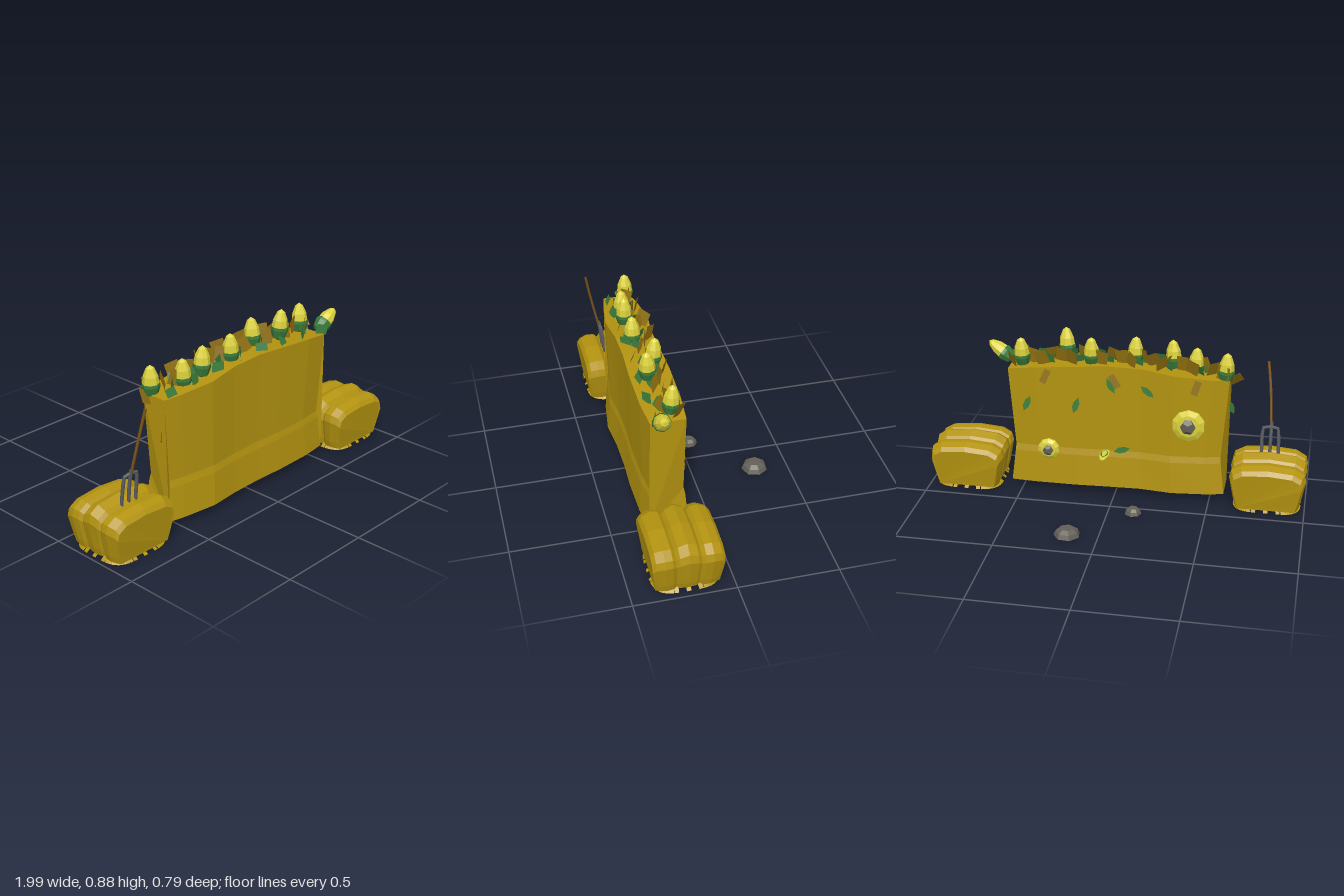
import * as THREE from 'three';

const mat = (name, color, side = THREE.FrontSide) => {
  const m = new THREE.MeshStandardMaterial({ color, side, flatShading: true });
  m.name = name;
  return m;
};

export function createModel() {
  const root = new THREE.Group();
  root.name = 'strawWallCreature';
  const D = THREE.DoubleSide;
  const straw = mat('straw', 0xb39310, D);
  const dryLeaf = mat('dryLeaf', 0x8f6f10, D);
  const corn = mat('cornYellow', 0xdcd23c, D);
  const green = mat('huskGreen', 0x3a7a3a, D);
  const stone = mat('stone', 0x625f57);
  const metal = mat('metal', 0x5a5b5e);
  const wood = mat('wood', 0x7a5418);

  let seed = 7;
  const rnd = () => ((seed = (seed * 16807) % 2147483647) / 2147483647);
  const add = (parent, name, geo, material, p = [0, 0, 0], r = [0, 0, 0]) => {
    const m = new THREE.Mesh(geo, material);
    m.name = name;
    m.position.set(...p);
    m.rotation.set(...r);
    parent.add(m);
    return m;
  };

  // Joins equal-length cross-sections; optionally closes the loop and caps the ends
  const loft = (rings, closed) => {
    const n = rings[0].length, pos = rings.flat(2), idx = [];
    for (let i = 0; i < rings.length - 1; i++)
      for (let j = 0; j < (closed ? n : n - 1); j++) {
        const a = i * n + j, b = i * n + (j + 1) % n, c = a + n, d = b + n;
        idx.push(a, b, c, b, d, c);
      }
    const last = (rings.length - 1) * n;
    for (let j = 1; j < n - 1; j++) {
      idx.push(0, j + 1, j, last, last + j, last + j + 1);
    }
    const g = new THREE.BufferGeometry();
    g.setAttribute('position', new THREE.Float32BufferAttribute(pos, 3));
    g.setIndex(idx);
    const flat = g.toNonIndexed();
    flat.computeVertexNormals();
    return flat;
  };

  // Wall: stations of x, top height, front z, back z
  const stations = [
    [-0.585, 0.685, 0.3, 0.16], [-0.5, 0.69, 0.318, 0.14], [-0.31, 0.705, 0.343, 0.122],
    [-0.14, 0.725, 0.328, 0.14], [0.04, 0.73, 0.325, 0.135], [0.2, 0.72, 0.33, 0.127],
    [0.42, 0.7, 0.325, 0.127], [0.56, 0.682, 0.308, 0.135],
  ];
  const rows = [[0.05, 0.985, 0.012], [0.22, 0.95, 0], [0.255, 0.945, -0.008]];
  const wallRings = stations.map(([x, top, zf, zb]) => {
    const prof = [...rows, [top, 1, 0]];
    return [
      ...prof.map(([y, s, f]) => [x * s, y, zf + f]),
      ...prof.slice().reverse().map(([y, s, f]) => [x * s, y, zb - f]),
    ];
  });
  add(root, 'wall', loft(wallRings, true), straw);
  const topAt = (x) => 0.73 - 0.13 * x * x;
  const backAt = (x) => {
    for (let i = 1; i < stations.length; i++) {
      const a = stations[i - 1], b = stations[i];
      if (x <= b[0]) return a[3] + (b[3] - a[3]) * (x - a[0]) / (b[0] - a[0]);
    }
    return 0.135;
  };

  // Three-lobed hay bales, open underneath, with a fringe round the rim
  const half = [[0.165, 0.015], [0.175, 0.05], [0.198, 0.19], [0.188, 0.232], [0.14, 0.262]];
  const baleProfile = [...half, [0, 0.275], ...half.map(([x, y]) => [-x, y]).reverse()];
  const lobe = [[0.172, 0.9, 0.8], [0.155, 0.94, 0.88], [0.115, 1, 0.93],
    [0.078, 0.98, 0.92], [0.06, 0.92, 0.86], [0.044, 0.97, 0.93], [0, 1, 1]];
  const slices = [...lobe.map(([z, a, b]) => [-z, a, b]), ...lobe.slice(0, -1).reverse()];
  const baleGeo = loft(slices.map(([z, sx, sy]) => baleProfile.map(([x, y]) => [
    x * sx, y < 0.1 ? y : y * sy, z * (y < 0.03 ? 0.9 : y < 0.1 ? 0.92 : 1),
  ])).reverse(), false);
  const toothGeo = new THREE.PlaneGeometry(0.022, 0.03);
  const makeBale = (x, name) => {
    const g = new THREE.Group();
    g.name = name;
    g.position.set(x, 0, 0.225);
    add(g, 'baleBody', baleGeo, straw);
    const n = 44, pow = (v) => Math.sign(v) * Math.sqrt(Math.abs(v));
    for (let i = 0; i < n; i++) {
      const t = (i / n) * Math.PI * 2;
      const tooth = add(g, 'fringe', toothGeo, straw,
        [0.165 * pow(Math.sin(t)), 0.012, 0.153 * pow(Math.cos(t))]);
      tooth.rotation.set(-0.9, t, 0.25 * (rnd() - 0.5), 'YXZ');
    }
    root.add(g);
  };
  makeBale(0.793, 'leftBale');
  makeBale(-0.803, 'rightBale');

  // Corn cobs in green husks along the wall top
  const lathe = (pts, seg) => new THREE.LatheGeometry(pts.map((p) => new THREE.Vector2(...p)), seg);
  const cobGeo = lathe([[0, 0], [0.03, 0.02], [0.041, 0.06], [0.036, 0.105], [0.02, 0.145], [0, 0.16]], 8);
  const huskGeo = lathe([[0, -0.006], [0.033, 0.014], [0.045, 0.055], [0.043, 0.07]], 8);
  const cobs = [[-0.56, 0.19, 0.665, 0.05, 0], [-0.4, 0.24, 0.665, 0.06, 0], [-0.29, 0.25, 0.695, -0.05, 0],
    [-0.085, 0.25, 0.7, 0.05, 0], [0.13, 0.2, 0.705, 0, -0.1], [0.265, 0.25, 0.725, -0.06, 0.05],
    [0.495, 0.2, 0.68, -0.03, -0.1], [0.56, 0.26, 0.685, -0.95, 0.08]];
  cobs.forEach(([x, z, y, rz, rx]) => {
    const g = new THREE.Group();
    g.name = 'cornCob';
    add(g, 'kernels', cobGeo, corn);
    add(g, 'husk', huskGeo, green);
    g.position.set(x, y, z);
    g.rotation.set(rx, 0, rz);
    root.add(g);
  });

  // Loose dry and green leaves between the cobs
  const dryGeo = new THREE.PlaneGeometry(0.07, 0.075);
  const greenGeo = new THREE.PlaneGeometry(0.06, 0.05);
  for (let i = 0; i < 22; i++) {
    const x = -0.55 + i * 0.052;
    const z = 0.165 + 0.035 * (i % 3);
    add(root, 'dryLeaf', dryGeo, dryLeaf, [x, topAt(x) + 0.033, z],
      [-0.5 + 0.5 * rnd(), rnd() * 1.6 - 0.8, rnd() * 0.8 - 0.4]);
    add(root, 'greenLeaf', greenGeo, green, [x + 0.02, topAt(x) + 0.012, 0.29 - 0.045 * (i % 3)],
      [-0.6 + 0.5 * rnd(), rnd() * 1.6 - 0.8, rnd() * 0.8 - 0.4]);
  }
  add(root, 'endDryLeaf', dryGeo, dryLeaf, [-0.612, 0.685, 0.2], [-0.6, 0.4, -0.3]);

  // Pointed leaves stuck to the back and one end
  const leafShape = new THREE.Shape();
  leafShape.moveTo(0, -0.045);
  leafShape.quadraticCurveTo(0.035, 0, 0, 0.045);
  leafShape.quadraticCurveTo(-0.035, 0, 0, -0.045);
  const leafGeo = new THREE.ShapeGeometry(leafShape, 3);
  [[0.46, 0.5, 0.4], [0.2, 0.51, 0.3], [-0.17, 0.61, -0.9], [-0.04, 0.27, 1.3], [0.02, 0.63, -0.5]]
    .forEach(([x, y, r]) => add(root, 'backLeaf', leafGeo, green, [x, y, backAt(x) - 0.012], [0.12, 0, r]));
  [[0.0, 0.655, -0.6], [-0.42, 0.65, 0.3], [0.36, 0.66, 0.4]].forEach(([x, y, r]) =>
    add(root, 'backDryLeaf', dryGeo, dryLeaf, [x, y, backAt(x) - 0.012], [0.15, 0, r]).scale.set(0.5, 1, 1));
  add(root, 'endLeaf', leafGeo, green, [-0.59, 0.49, 0.28], [0, 0.7, -0.4]);

  // Face on the back: two uneven eyes and a flat nose
  const eye = (x, y, r, pupil) => {
    const g = new THREE.Group();
    g.name = 'eye';
    const disc = lathe([[r, -0.012], [r, 0.002], [r * 0.7, 0.014], [0, 0.02]], 10);
    add(g, 'eyeDisc', disc, corn, [0, 0, 0], [-Math.PI / 2, 0, 0]);
    add(g, 'pupil', new THREE.DodecahedronGeometry(pupil), stone, [0, 0, -0.018]).scale.z = 0.65;
    g.position.set(x, y, backAt(x) - 0.002);
    root.add(g);
  };
  eye(-0.385, 0.437, 0.086, 0.042);
  eye(0.35, 0.245, 0.057, 0.03);
  const nose = add(root, 'nose', cobGeo, corn, [0.045, 0.257, 0.15], [-Math.PI / 2, 0, 0]);
  nose.scale.set(0.62, 0.86, 0.16);
  add(root, 'noseLeaf', leafGeo, green, [0.045, 0.262, 0.085], [-Math.PI / 2, 0, 0]).scale.set(1.2, 1.05, 1);

  // Pitchfork stuck in the right bale
  const fork = new THREE.Group();
  fork.name = 'pitchfork';
  const tube = (name, pts, r, m) => add(fork, name, new THREE.TubeGeometry(
    new THREE.CatmullRomCurve3(pts.map((p) => new THREE.Vector3(...p))), 10, r, 6), m);
  tube('handle', [[-0.8, 0.38, 0.295], [-0.79, 0.52, 0.325], [-0.78, 0.62, 0.345], [-0.765, 0.728, 0.364]], 0.007, wood);
  tube('outerTines', [[-0.845, 0.23, 0.275], [-0.84, 0.34, 0.285], [-0.835, 0.385, 0.29], [-0.8, 0.392, 0.292],
    [-0.76, 0.385, 0.29], [-0.755, 0.34, 0.285], [-0.757, 0.23, 0.275]], 0.009, metal);
  tube('middleTine', [[-0.8, 0.23, 0.275], [-0.8, 0.32, 0.283], [-0.8, 0.42, 0.3]], 0.009, metal);
  root.add(fork);

  // Flat-bottomed stones on the ground
  [[-0.13, -0.05, 0.044, 0.032, 0.3], [0.158, -0.33, 0.068, 0.039, 0.8]].forEach(([x, z, r, h, t]) => {
    const g = lathe([[0, 0], [r, 0], [r * 0.85, h * 0.6], [r * 0.5, h], [0, h * 1.02]], 7);
    add(root, 'groundStone', g, stone, [x, 0, z], [0, t, 0]);
  });
  return root;
}
